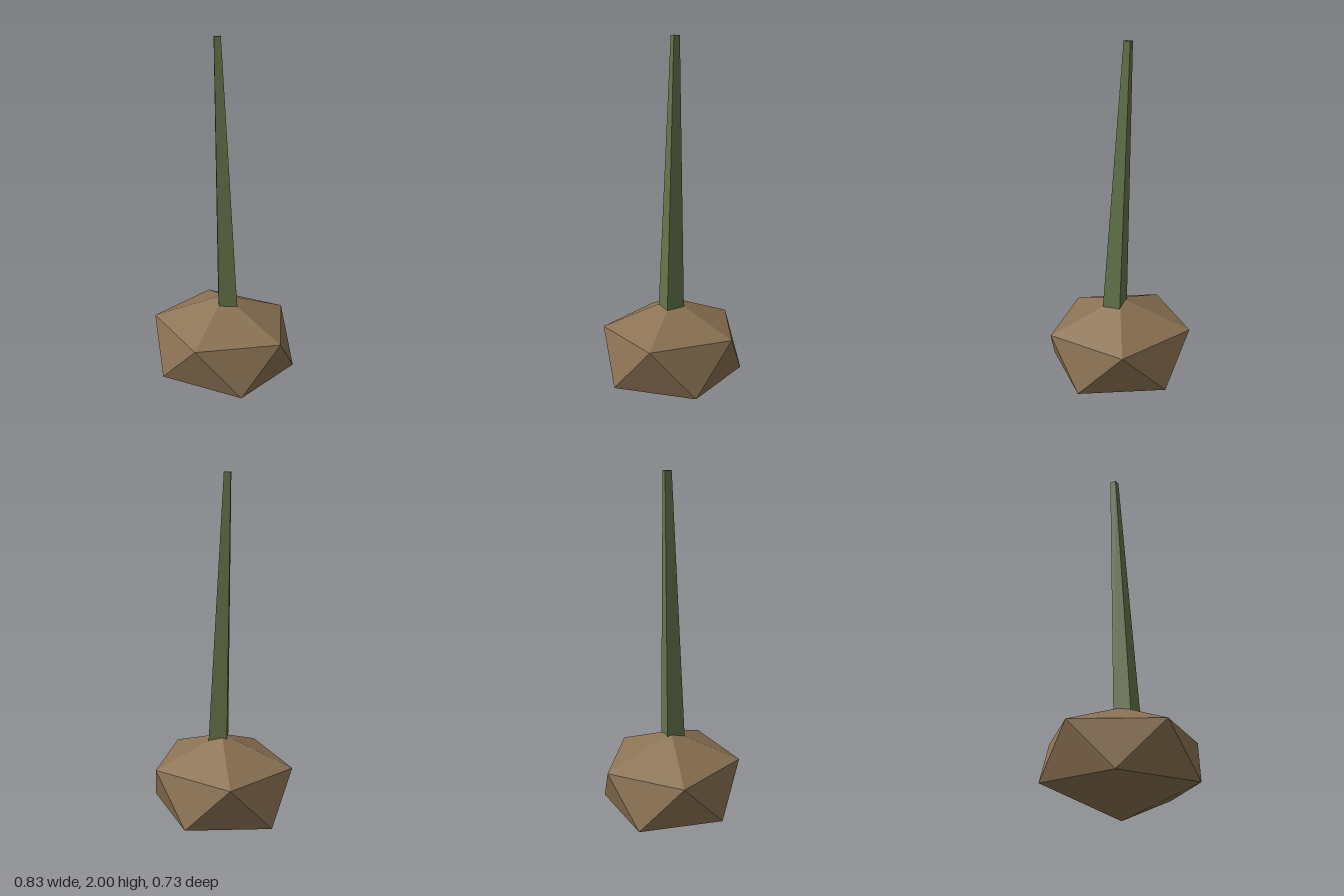
import * as THREE from 'three';

export function createModel() {
  const group = new THREE.Group();
  const brown = new THREE.MeshStandardMaterial({ color: 0x8b7253 });
  brown.name = 'bulbBrown';
  const green = new THREE.MeshStandardMaterial({ color: 0x65754a });
  green.name = 'stemGreen';
  brown.flatShading = green.flatShading = true;

  // Bulb: icosahedron stood on a vertex, then squashed
  const bulbGeometry = new THREE.IcosahedronGeometry(1, 0);
  bulbGeometry.rotateZ(-Math.atan(2 / (1 + Math.sqrt(5))));
  bulbGeometry.scale(0.462, 0.29, 0.43);
  const bulb = new THREE.Mesh(bulbGeometry, brown);
  bulb.name = 'bulb';
  bulb.position.y = 0.29;
  group.add(bulb);

  // Stem: leaning, tapered, four-sided, with its foot sunk into the bulb
  const stemGeometry = new THREE.CylinderGeometry(0.025, 0.074, 1.5, 4);
  const stem = new THREE.Mesh(stemGeometry, green);
  stem.name = 'stem';
  stem.position.set(-0.007, 1.25, 0);
  stem.rotation.z = 0.0507;
  group.add(stem);

  return group;
}
